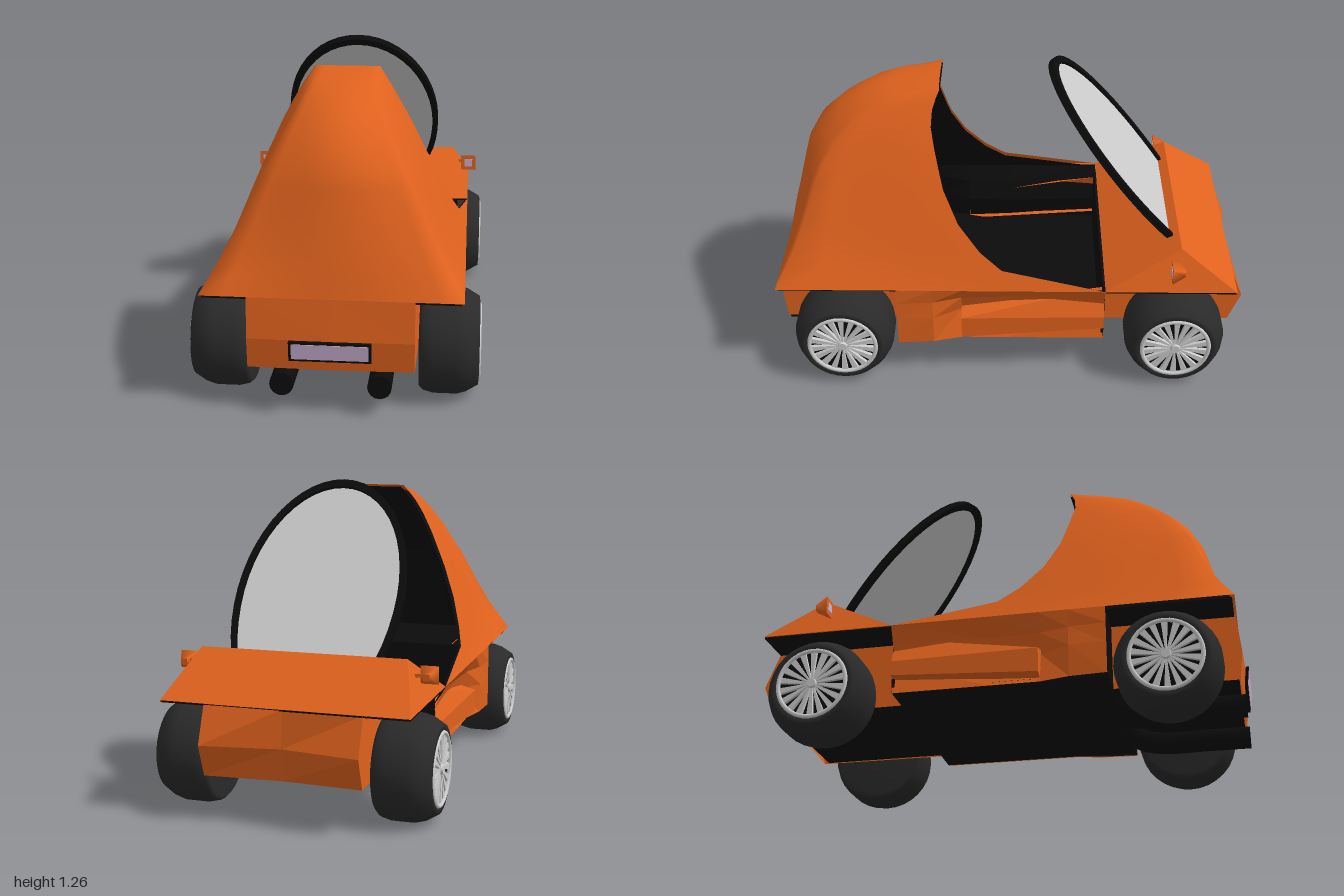
import * as THREE from 'three';

const mat = (color) => new THREE.MeshStandardMaterial({ color, side: THREE.DoubleSide });
const ORANGE = mat(0xe0621e), BLACK = mat(0x0b0b0b), RUBBER = mat(0x2a2a2a);
const GREY = mat(0xcccccc), LILAC = mat(0xcbb0d2);

function add(parent, name, geometry, material, x = 0, y = 0, z = 0) {
  const mesh = new THREE.Mesh(geometry, material);
  mesh.name = name;
  mesh.position.set(x, y, z);
  parent.add(mesh);
  return mesh;
}
const box = (w, h, d) => new THREE.BoxGeometry(w, h, d);

// Skin over rows of [x, y, z] points, each row having the same count
function loft(rows, smooth = false) {
  const n = rows[0].length, index = [];
  for (let r = 0; r < rows.length - 1; r++) {
    for (let i = 0; i < n - 1; i++) {
      const a = r * n + i, b = a + 1, c = a + n, d = c + 1;
      index.push(a, c, b, b, c, d);
    }
  }
  let g = new THREE.BufferGeometry();
  g.setAttribute('position', new THREE.Float32BufferAttribute(rows.flat(2), 3));
  g.setIndex(index);
  if (!smooth) g = g.toNonIndexed();
  g.computeVertexNormals();
  return g;
}

// Rear canopy levels: height, half width, z of the open edge, z of the back
const LEVELS = [
  [0.46, 0.495, -0.4, 0.97], [0.54, 0.46, 0.03, 0.95], [0.61, 0.43, 0.12, 0.935],
  [0.72, 0.385, 0.21, 0.905], [0.85, 0.328, 0.27, 0.872], [0.91, 0.3, 0.285, 0.855],
  [1.0, 0.258, 0.305, 0.805], [1.08, 0.215, 0.32, 0.72], [1.14, 0.18, 0.315, 0.62],
  [1.18, 0.152, 0.3, 0.5], [1.21, 0.13, 0.285, 0.29],
];
function canopy(inset) {
  const seg = 32;
  return loft(LEVELS.map(([y, hw, zo, zr], r) => {
    const k = Math.min(0.75, r * 0.1), row = [];
    for (let i = 0; i <= seg; i++) {
      const c = Math.cos(Math.PI * i / seg), s = Math.sin(Math.PI * i / seg);
      // plan outline goes from a rectangle at the waist to an oval at the roof
      const f = k + (1 - k) / Math.max(Math.abs(c), s);
      const back = Math.max(zo, zr - inset);
      row.push([c * f * (hw - inset), y - inset * 0.7, zo + s * f * (back - zo)]);
    }
    return row;
  }), true);
}

// Central lower body end: walls plus a creased end face
function bodyEnd(zStart, levels) {
  return loft(levels.map(([y, zSide, zMid]) => [
    [0.32, y, zStart], [0.315, y, zSide], [0, y, zMid], [-0.315, y, zSide], [-0.32, y, zStart],
  ]));
}

// Scalloped flank and its tapered side pod
function flank(side, inset) {
  const ys = [0.46, 0.39, 0.31, 0.18];
  const stations = [
    [0.47, 0.495, 0.495, 0.495, 0.495], [0.32, 0.495, 0.485, 0.49, 0.485],
    [0.2, 0.495, 0.45, 0.42, 0.455], [0, 0.495, 0.44, 0.41, 0.455], [-0.4, 0.495, 0.46, 0.43, 0.455],
  ];
  return loft(stations.map(([z, ...xs]) => xs.map((x, i) => [side * (x - inset), ys[i], z])));
}
function sidePod(side) {
  const section = (z, pts) => pts.map(([x, y]) => [side * x, y, z]);
  return loft([
    section(0.2, Array(4).fill([0.44, 0.26])),
    section(0.2, [[0.42, 0.33], [0.49, 0.31], [0.49, 0.21], [0.42, 0.19]]),
    section(-0.4, [[0.42, 0.43], [0.475, 0.31], [0.475, 0.25], [0.42, 0.235]]),
  ]);
}

function wheel() {
  const g = new THREE.Group();
  g.name = 'wheel';
  const profile = [[0.145, 0.1], [0.15, 0.115], [0.172, 0.113], [0.2, 0.065], [0.21, 0.03],
    [0.21, -0.06], [0.2, -0.1], [0.185, -0.115], [0, -0.115]];
  add(g, 'tyre', new THREE.LatheGeometry(profile.map(p => new THREE.Vector2(...p)), 32), RUBBER);
  add(g, 'wheelWell', new THREE.CylinderGeometry(0.147, 0.147, 0.01, 32), BLACK, 0, 0.085, 0);
  const ring = add(g, 'rim', new THREE.TorusGeometry(0.14, 0.009, 8, 40), GREY, 0, 0.112, 0);
  ring.rotation.x = Math.PI / 2;
  add(g, 'hub', new THREE.CylinderGeometry(0.018, 0.028, 0.035, 16), GREY, 0, 0.105, 0);
  // tapered spokes, wider toward the rim
  const spokeShape = new THREE.Shape([[0.02, -0.003], [0.14, -0.013], [0.14, 0.013], [0.02, 0.003]]
    .map(p => new THREE.Vector2(...p)));
  const spoke = new THREE.ExtrudeGeometry(spokeShape, { depth: 0.015, bevelEnabled: false });
  spoke.rotateX(-Math.PI / 2);
  for (let i = 0; i < 18; i++) {
    add(g, 'spoke', spoke, GREY, 0, 0.098, 0).rotation.y = i * Math.PI / 9;
  }
  return g;
}

function windscreen() {
  const g = new THREE.Group();
  g.name = 'windscreen';
  const arc = (hw, top) => {
    const pts = [], start = -0.5;
    for (let i = 0; i <= 32; i++) {
      const t = start + (Math.PI - 2 * start) * i / 32;
      const s = Math.sin(t);
      pts.push(new THREE.Vector2(hw * Math.cos(t), 0.28 + s * (s > 0 ? top : 0.58)));
    }
    return pts;
  };
  const outer = arc(0.348, 0.55), inner = arc(0.322, 0.515);
  add(g, 'glass', new THREE.ShapeGeometry(new THREE.Shape(inner)), GREY, 0, 0, 0);
  const frame = new THREE.Shape([...outer, ...inner.slice().reverse()]);
  add(g, 'windscreenFrame',
    new THREE.ExtrudeGeometry(frame, { depth: 0.028, bevelEnabled: false }), BLACK, 0, 0, -0.014);
  g.position.set(0, 0.6, -0.68);
  g.rotation.x = Math.atan2(0.51, 0.65);
  return g;
}

export function createModel() {
  const car = new THREE.Group();
  car.name = 'openCar';

  // Upper bodywork with dark lining
  add(car, 'rearCanopy', canopy(0), ORANGE);
  add(car, 'canopyLining', canopy(0.012), BLACK);

  // Hood: two slopes meeting at a ridge, closed by side triangles
  const L = 0.495, R = 0.42, ridge = [[R, 0.63, -0.71], [-R, 0.63, -0.71]];
  add(car, 'hood', loft([
    [[L, 0.46, -0.945], [-L, 0.46, -0.945]], ridge, [[L, 0.46, -0.4], [-L, 0.46, -0.4]],
  ]), ORANGE);
  for (const s of [1, -1]) {
    add(car, 'hoodSide', loft([
      [[s * L, 0.46, -0.945], [s * R, 0.63, -0.71]], [[s * L, 0.46, -0.4], [s * R, 0.63, -0.71]],
    ]), ORANGE);
  }
  add(car, 'hoodUnderside', box(0.985, 0.006, 0.54), BLACK, 0, 0.455, -0.672);

  // Lower body, floor and bulkheads
  add(car, 'nose', bodyEnd(-0.4, [[0.46, -0.94, -0.94], [0.31, -1.0, -0.952], [0.18, -0.95, -0.93]]), ORANGE);
  add(car, 'tail', bodyEnd(0.47, [[0.46, 0.965, 0.97], [0.3, 0.98, 0.988], [0.18, 0.965, 0.972]]), ORANGE);
  add(car, 'floor', box(0.62, 0.012, 1.89), BLACK, 0, 0.188, 0.015);
  add(car, 'cabinFloor', box(0.9, 0.014, 0.86), BLACK, 0, 0.188, 0.035);
  add(car, 'frontBulkhead', box(0.9, 0.27, 0.012), BLACK, 0, 0.32, -0.396);
  add(car, 'rearBulkhead', box(0.97, 0.27, 0.012), BLACK, 0, 0.32, 0.462);
  add(car, 'rearDeck', box(0.97, 0.006, 0.49), BLACK, 0, 0.452, 0.715);

  for (const s of [1, -1]) {
    add(car, 'flank', flank(s, 0), ORANGE);
    add(car, 'flankLining', flank(s, 0.01), BLACK);
    add(car, 'sidePod', sidePod(s), ORANGE);

    // Wheels
    for (const z of [0.7, -0.7]) {
      const w = wheel();
      w.position.set(s * 0.44, 0.21, z);
      w.rotation.z = -s * Math.PI / 2;
      car.add(w);
    }

    // Exhaust pipe, rising under the floor
    const path = new THREE.CatmullRomCurve3([[0.98, 0.12], [0.8, 0.12], [0.62, 0.12], [0.53, 0.14], [0.45, 0.2]]
      .map(([z, y]) => new THREE.Vector3(s * 0.185, y, z)));
    add(car, 'exhaust', new THREE.TubeGeometry(path, 20, 0.046, 16), BLACK);
    add(car, 'exhaustEnd', new THREE.CircleGeometry(0.046, 16), BLACK, s * 0.185, 0.12, 0.975);

    // Door mirror: tapered shell, glass and stalk
    const mirror = new THREE.Group();
    mirror.name = 'mirror';
    const shell = new THREE.CylinderGeometry(0.05, 0.018, 0.055, 4, 1);
    shell.rotateY(Math.PI / 4);
    shell.rotateX(Math.PI / 2);
    add(mirror, 'mirrorShell', shell, ORANGE);
    add(mirror, 'mirrorGlass', box(0.038, 0.036, 0.004), LILAC, 0, 0, 0.028);
    const stalk = add(mirror, 'mirrorStalk', box(0.08, 0.014, 0.014), ORANGE, -s * 0.055, 0, -0.005);
    stalk.rotation.z = s * 0.15;
    mirror.position.set(s * 0.495, 0.565, -0.695);
    car.add(mirror);
  }

  // Rear plate
  const plate = new THREE.Group();
  plate.name = 'rearPlate';
  add(plate, 'plateFrame', box(0.31, 0.08, 0.012), BLACK);
  add(plate, 'plateFace', box(0.29, 0.062, 0.004), LILAC, 0, 0, 0.006);
  plate.position.set(0, 0.26, 0.988);
  plate.rotation.x = 0.13;
  car.add(plate);

  car.add(windscreen());
  return car;
}
